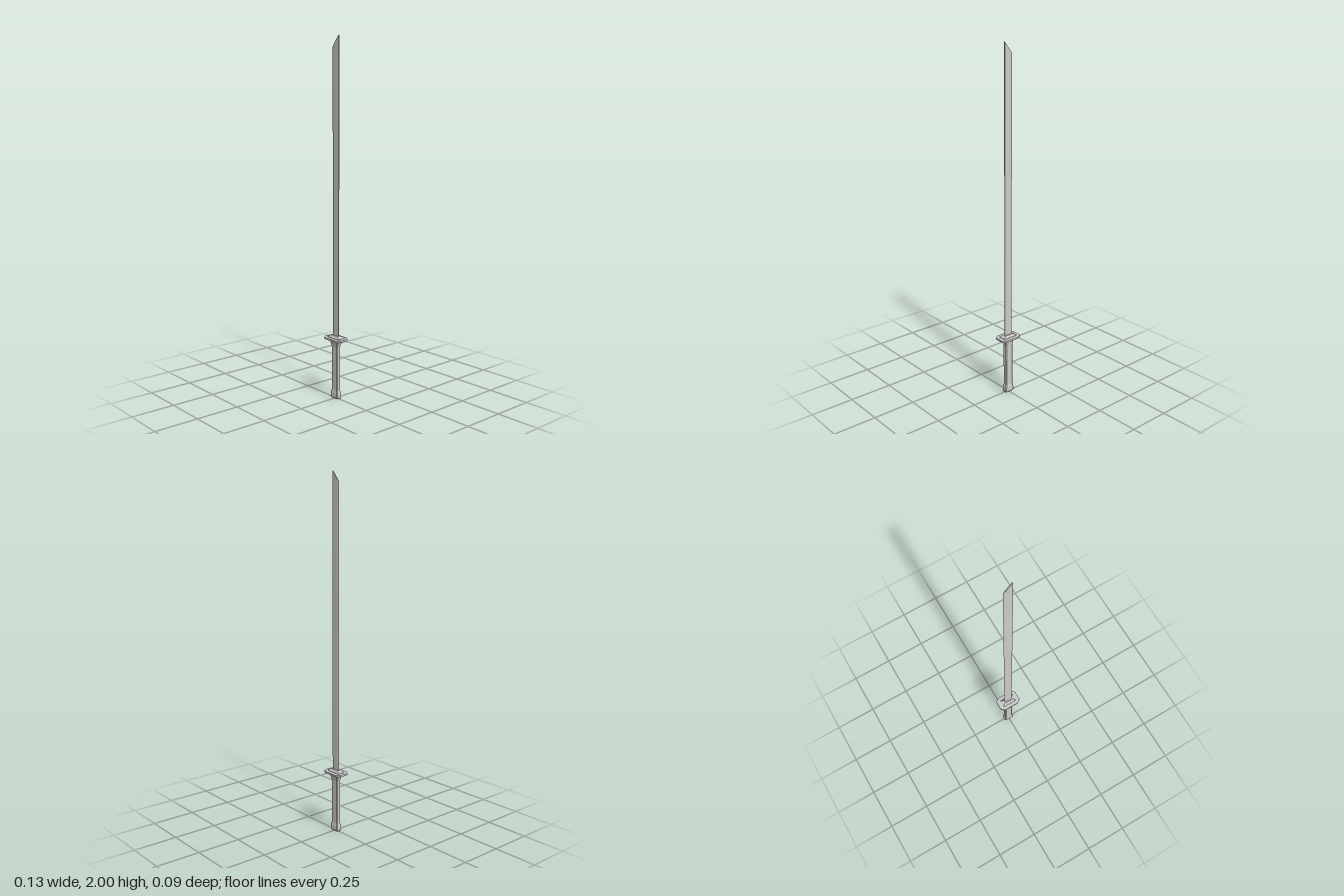
import * as THREE from 'three';

const material = new THREE.MeshStandardMaterial({ color: 0xcccccc, flatShading: true });

// Skins convex rings of points, listed bottom to top and counter-clockwise from above, and caps both ends
function loft(name, rings) {
  const n = rings[0].length;
  const index = [];
  for (let r = 0; r < rings.length - 1; r++) {
    for (let i = 0; i < n; i++) {
      const a = r * n + i, b = r * n + (i + 1) % n;
      index.push(a, b, b + n, a, b + n, a + n);
    }
  }
  const top = (rings.length - 1) * n;
  for (let i = 1; i < n - 1; i++) {
    index.push(0, i + 1, i, top, top + i, top + i + 1);
  }
  const geometry = new THREE.BufferGeometry();
  geometry.setAttribute('position', new THREE.Float32BufferAttribute(rings.flat(2), 3));
  geometry.setIndex(index);
  const flat = geometry.toNonIndexed();
  flat.computeVertexNormals();
  const mesh = new THREE.Mesh(flat, material);
  mesh.name = name;
  return mesh;
}

// Rectangle of half sizes hx, hz at height y, with corners cut by cx, cz
function cutRing(y, hx, hz, cx, cz) {
  const ix = hx - cx, iz = hz - cz;
  return [
    [hx, y, iz], [hx, y, -iz], [ix, y, -hz], [-ix, y, -hz],
    [-hx, y, -iz], [-hx, y, iz], [-ix, y, hz], [ix, y, hz],
  ];
}

function rectRing(y, hx, hz) {
  return [[hx, y, hz], [hx, y, -hz], [-hx, y, -hz], [-hx, y, hz]];
}

// Blade section: flat spine on +x, sharp edge on -x
function bladeRing(heightAt) {
  const section = [[0.024, 0.003], [0.024, -0.003], [-0.012, -0.003], [-0.026, 0], [-0.012, 0.003]];
  return section.map(([x, z]) => [x, heightAt(x), z]);
}

export function createModel() {
  const sword = new THREE.Group();
  sword.name = 'sword';

  // Long single-edged blade with a slanted tip
  sword.add(loft('blade', [
    bladeRing(() => 0.35),
    bladeRing((x) => 2 - (0.024 - x) * 1.2),
  ]));

  // Tapered collar at the blade root
  sword.add(loft('collar', [
    rectRing(0.35, 0.045, 0.0225),
    rectRing(0.353, 0.045, 0.0225),
    rectRing(0.363, 0.031, 0.011),
  ]));

  // Flat guard with cut corners
  sword.add(loft('guard', [
    cutRing(0.341, 0.067, 0.044, 0.023, 0.016),
    cutRing(0.351, 0.067, 0.044, 0.023, 0.016),
  ]));

  // Grip, flaring out below the guard
  sword.add(loft('grip', [
    [0.04, 0.025, 0.013],
    [0.3, 0.025, 0.013],
    [0.32, 0.03, 0.016],
    [0.335, 0.036, 0.02],
    [0.342, 0.036, 0.02],
  ].map(([y, hx, hz]) => cutRing(y, hx, hz, 0.005, 0.004))));

  // Pommel with softened ends
  sword.add(loft('pommel', [
    [0, 0.026, 0.013],
    [0.006, 0.03, 0.017],
    [0.03, 0.029, 0.0165],
    [0.048, 0.025, 0.013],
  ].map(([y, hx, hz]) => cutRing(y, hx, hz, 0.005, 0.004))));

  return sword;
}
